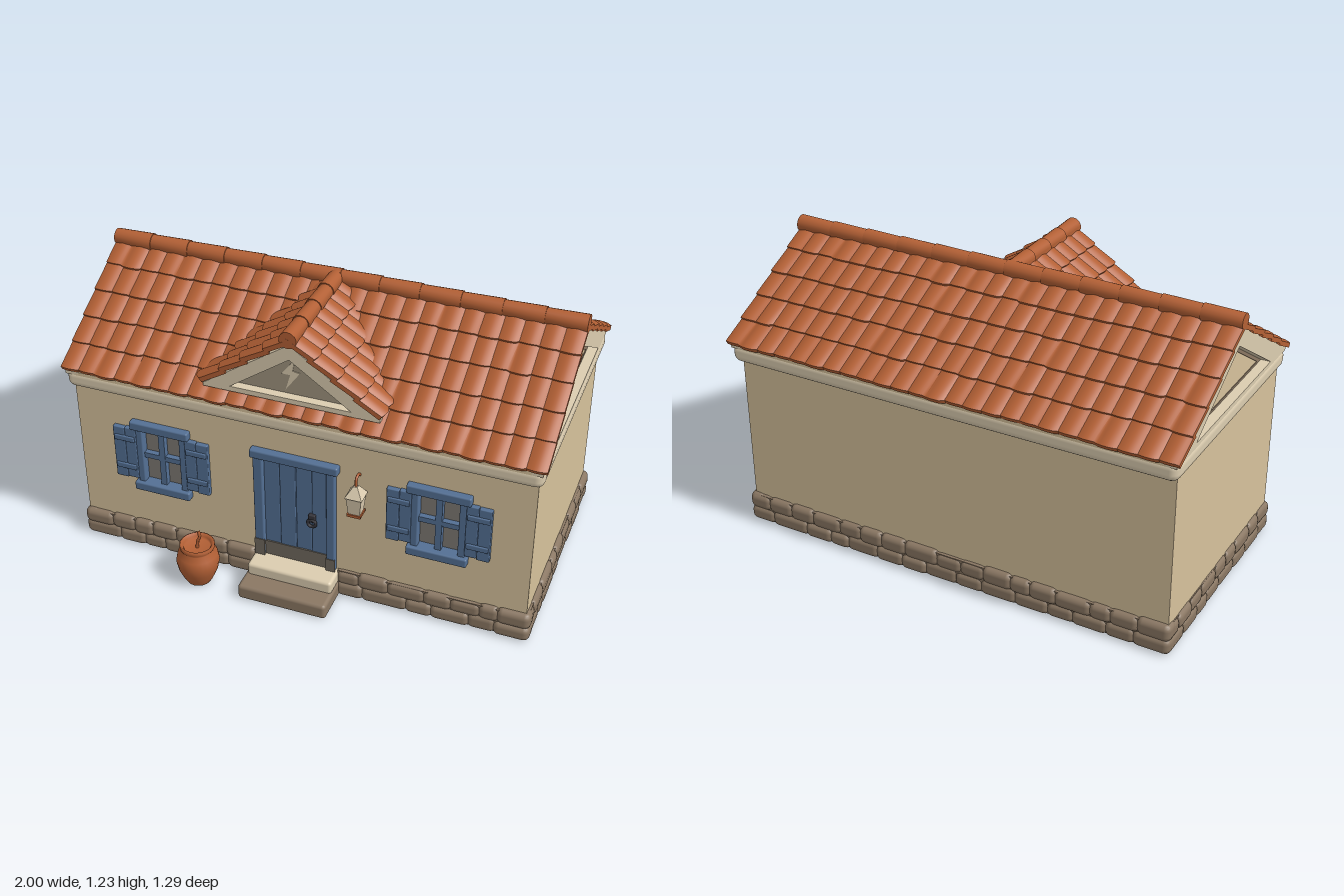
import * as THREE from 'three';
import { toCreasedNormals } from 'three/addons/utils/BufferGeometryUtils.js';
import { RoundedBoxGeometry } from 'three/addons/geometries/RoundedBoxGeometry.js';

const mat = (name, color) => Object.assign(new THREE.MeshStandardMaterial({ color }), { name });
const M = {
  plaster: mat('plaster', 0xd7c29c),
  trim: mat('pale trim', 0xdccdb0),
  shade: mat('weathered plaster', 0x9f947f),
  tile: mat('terracotta', 0xb36035),
  stone: mat('stone', 0x8a7763),
  blue: mat('blue paint', 0x547094),
  glass: mat('window glass', 0x7d7973),
  grime: mat('worn wood', 0x70685e),
  iron: mat('dark iron', 0x35343a),
};

let seed = 7;
const rand = () => (seed = (seed * 16807) % 2147483647) / 2147483647;
const RIDGE_Z = -0.07, DORMER_X = -0.02;

export function createModel() {
  const root = new THREE.Group();
  root.name = 'cottage';

  const add = (name, geo, material, x = 0, y = 0, z = 0, parent = root) => {
    const m = new THREE.Mesh(geo, material);
    m.name = name;
    m.position.set(x, y, z);
    parent.add(m);
    return m;
  };
  // Box given by its min and max on each axis; r rounds the edges
  const box = (name, material, x0, x1, y0, y1, z0, z1, r = 0, parent = root) => {
    const s = [x1 - x0, y1 - y0, z1 - z0];
    const geo = r ? new RoundedBoxGeometry(...s, 2, r) : new THREE.BoxGeometry(...s);
    return add(name, geo, material, (x0 + x1) / 2, (y0 + y1) / 2, (z0 + z1) / 2, parent);
  };
  const group = (name) => {
    const g = new THREE.Group();
    g.name = name;
    root.add(g);
    return g;
  };
  const poly = (pts) => new THREE.Shape(pts.map((p) => new THREE.Vector2(...p)));
  const extrude = (shape, depth) => new THREE.ExtrudeGeometry(shape, { depth, bevelEnabled: false });
  const rect = (x0, x1, y0, y1) => [[x0, y0], [x1, y0], [x1, y1], [x0, y1]];

  // Walls, open underneath, with window and door openings in the front
  const windows = [-0.595, 0.59];
  const front = poly(rect(-0.97, 0.965, 0.06, 0.8));
  front.holes.push(poly(rect(-0.16, 0.145, 0.1, 0.63)));
  for (const x of windows) front.holes.push(poly(rect(x - 0.105, x + 0.105, 0.335, 0.63)));
  add('frontWall', extrude(front, 0.05), M.plaster, 0, 0, 0.38);
  box('backWall', M.plaster, -0.97, 0.965, 0.06, 0.8, -0.565, -0.515);
  box('rightWall', M.plaster, -0.97, -0.92, 0.06, 0.8, -0.56, 0.425);
  box('leftWall', M.plaster, 0.915, 0.965, 0.06, 0.8, -0.56, 0.425);
  box('cornice', M.trim, -0.988, 0.988, 0.768, 0.854, -0.61, 0.47, 0.034);

  // Gable ends: a raised triangular frame around a recessed panel with a dark border
  const gable = poly([[-0.54, 0.835], [0.54, 0.835], [0.54, 0.85], [0, 1.163], [-0.54, 0.85]]);
  const attic = extrude(gable, 1.88).translate(0, 0, -0.94).rotateY(Math.PI / 2);
  add('atticPanel', attic, M.plaster, 0, 0, RIDGE_Z);
  const opening = poly([[-0.37, 0.856], [0.37, 0.856], [0, 1.083]]);
  const frame = gable.clone();
  frame.holes.push(opening);
  const border = opening.clone();
  border.holes.push(poly([[-0.325, 0.866], [0.325, 0.866], [0, 1.067]]));
  for (const [x, bx] of [[-0.984, -0.943], [0.928, 0.938]]) {
    add('gableFrame', extrude(frame, 0.056).rotateY(Math.PI / 2), M.trim, x, 0, RIDGE_Z);
    add('gableBorder', extrude(border, 0.005).rotateY(Math.PI / 2), M.stone, bx, 0, RIDGE_Z);
  }

  // One roof slope: overlapping rows of rounded tiles running downhill along local z
  const slope = (name, w, len, cols, rows, tilt, turn, pos) => {
    const g = group(name), d = len / rows;
    for (let r = 0; r < rows; r++) {
      const l = d * 1.12;
      const geo = new THREE.BoxGeometry(w, 0.02, l, cols * 6, 1, 1);
      const p = geo.attributes.position;
      const jit = Array.from({ length: cols + 1 }, () => rand() - 0.5);
      for (let i = 0; i < p.count; i++) {
        const u = (p.getX(i) / w + 0.5) * cols;
        const wave = Math.abs(Math.sin(Math.PI * u));
        const low = p.getZ(i) > 0 ? 1 : 0;
        const j = jit[Math.floor(u + 1e-4)];
        p.setY(i, p.getY(i) + 0.011 * wave + (low ? 0.008 + 0.005 * j : -0.003));
        p.setZ(i, p.getZ(i) + low * (0.008 * wave + 0.01 * j));
      }
      add('tileRow', toCreasedNormals(geo, 0.6), M.tile, 0, 0, (r + 1) * d - l / 2, g);
    }
    g.rotation.set(tilt, turn, 0, 'YXZ');
    g.position.set(...pos);
  };
  slope('frontRoof', 2, 0.628, 25, 5, 0.528, 0, [0, 1.168, RIDGE_Z]);
  slope('backRoof', 2, 0.632, 25, 5, 0.528, Math.PI, [0, 1.168, RIDGE_Z]);
  for (const s of [-1, 1]) {
    slope('dormerRoof', 0.525, 0.453, 7, 4, 0.612, s * Math.PI / 2, [DORMER_X, 1.184, 0.193]);
  }

  // Ridge caps: overlapping tapered round tiles
  for (let i = 0; i < 12; i++) {
    const cap = new THREE.CylinderGeometry(0.033, 0.037, 1 / 6, 14).rotateZ(Math.PI / 2);
    add('ridgeCap', toCreasedNormals(cap, 0.8), M.tile, -1 + (i + 0.5) / 6, 1.187, RIDGE_Z);
  }
  for (let i = 0; i < 4; i++) {
    const cap = new THREE.CylinderGeometry(0.036, 0.032, 0.133, 14).rotateX(Math.PI / 2);
    add('dormerRidgeCap', toCreasedNormals(cap, 0.8), M.tile, DORMER_X, 1.191, RIDGE_Z + (i + 0.5) * 0.131);
  }

  // Dormer gable with a chipped patch of plaster
  const dormer = [[-0.365, 0.902], [0.365, 0.902], [0.365, 0.915], [0, 1.165], [-0.365, 0.915]];
  add('dormerPanel', extrude(poly(dormer), 0.4), M.shade, DORMER_X, 0, 0.008);
  const dormerFrame = poly(dormer);
  dormerFrame.holes.push(poly([[-0.25, 0.924], [0.25, 0.924], [0, 1.1]]));
  add('dormerFrame', extrude(dormerFrame, 0.05), M.trim, DORMER_X, 0, 0.395);
  const chip = poly([[0.01, 1.085], [-0.045, 1.01], [-0.01, 1.01], [-0.03, 0.94], [0.03, 1.025], [0, 1.03]]);
  add('chippedPlaster', extrude(chip, 0.005), M.trim, DORMER_X, 0, 0.406);

  // Stone footing: two courses of irregular rounded blocks over a solid core
  const footing = group('stoneFooting');
  const course = (a, b, fixed, alongX) => {
    for (let row = 0; row < 2; row++) {
      const n = Math.max(2, Math.round((b - a) / (row ? 0.115 : 0.13)));
      const cuts = Array.from({ length: n + 1 }, (_, i) =>
        a + (b - a) * (i + (i % n ? (rand() - 0.5) * 0.5 : 0)) / n);
      for (let i = 0; i < n; i++) {
        const len = cuts[i + 1] - cuts[i] + 0.012, mid = (cuts[i] + cuts[i + 1]) / 2;
        const t = 0.066 + rand() * 0.012, h = 0.068 + rand() * 0.008;
        const geo = new RoundedBoxGeometry(alongX ? len : t, h, alongX ? t : len, 2, 0.026);
        add('stone', geo, M.stone, alongX ? mid : fixed, row * 0.059 + h / 2, alongX ? fixed : mid, footing);
      }
    }
  };
  course(-0.98, -0.19, 0.42, true);
  course(0.175, 0.98, 0.42, true);
  course(-0.98, 0.98, -0.553, true);
  course(-0.58, 0.445, -0.95, false);
  course(-0.58, 0.445, 0.95, false);
  const core = (...b) => box('footingCore', M.stone, ...b, 0, footing);
  core(-0.96, -0.19, 0.01, 0.125, 0.385, 0.443);
  core(0.175, 0.96, 0.01, 0.125, 0.385, 0.443);
  core(-0.96, 0.96, 0.01, 0.125, -0.577, -0.52);
  core(-0.974, -0.92, 0.01, 0.125, -0.56, 0.43);
  core(0.92, 0.974, 0.01, 0.125, -0.56, 0.43);

  // Steps
  box('lowerStep', M.stone, -0.2, 0.185, 0, 0.068, 0.4, 0.615, 0.016);
  box('upperStep', M.trim, -0.19, 0.178, 0.06, 0.12, 0.39, 0.53, 0.014);

  // Door
  const door = group('door');
  for (let i = 0; i < 4; i++) {
    const x = -0.145 + i * 0.069;
    box('doorPlank', M.blue, x, x + 0.068, 0.118, 0.62, 0.395, 0.432 + (i % 2) * 0.004, 0.004, door);
  }
  box('doorJamb', M.blue, -0.185, -0.143, 0.118, 0.62, 0.395, 0.452, 0.007, door);
  box('doorJamb', M.blue, 0.128, 0.165, 0.118, 0.62, 0.395, 0.452, 0.007, door);
  box('doorLintel', M.blue, -0.195, 0.18, 0.612, 0.652, 0.395, 0.462, 0.008, door);
  box('wornPatch', M.grime, -0.145, 0.13, 0.12, 0.188, 0.434, 0.44, 0, door);
  box('wornPatch', M.grime, -0.186, -0.142, 0.12, 0.2, 0.446, 0.4545, 0, door);
  box('wornPatch', M.grime, 0.127, 0.166, 0.12, 0.18, 0.446, 0.4545, 0, door);
  add('doorHandle', new THREE.TorusGeometry(0.017, 0.007, 8, 16), M.iron, 0.065, 0.342, 0.446, door);
  box('doorLatch', M.iron, 0.05, 0.08, 0.345, 0.382, 0.43, 0.45, 0.004, door);

  // Windows with frame, glazing bars and open shutters
  for (const x of windows) {
    const g = group('window');
    const part = (name, m, x0, x1, ...rest) => box(name, m, x + x0, x + x1, ...rest, g);
    part('glass', M.glass, -0.1, 0.1, 0.35, 0.62, 0.402, 0.41, 0);
    part('lintel', M.blue, -0.13, 0.13, 0.612, 0.652, 0.39, 0.46, 0.007);
    part('sill', M.blue, -0.125, 0.125, 0.312, 0.352, 0.39, 0.462, 0.007);
    part('mullion', M.blue, -0.013, 0.013, 0.35, 0.615, 0.397, 0.437, 0);
    part('glazingBar', M.blue, -0.1, 0.1, 0.47, 0.494, 0.397, 0.434, 0);
    for (const s of [-1, 1]) {
      const side = (name, a, b, ...rest) => part(name, M.blue, Math.min(s * a, s * b), Math.max(s * a, s * b), ...rest);
      side('windowJamb', 0.082, 0.112, 0.345, 0.62, 0.39, 0.445, 0.006);
      side('shutterPlank', 0.11, 0.159, 0.362, 0.61, 0.424, 0.449, 0.004);
      side('shutterPlank', 0.16, 0.212, 0.357, 0.607, 0.424, 0.449, 0.004);
      for (const y of [0.405, 0.545]) side('shutterBatten', 0.116, 0.206, y, y + 0.025, 0.445, 0.456, 0.004);
    }
  }

  // Hanging lantern
  const lantern = group('lantern');
  const lx = 0.263, lz = 0.474;
  const ring = (name, r0, r1, h, y, m) => {
    const geo = new THREE.CylinderGeometry(r0, r1, h, 4).rotateY(Math.PI / 4);
    add(name, toCreasedNormals(geo, 0.5), m, lx, y, lz, lantern);
  };
  ring('lanternBody', 0.045, 0.034, 0.08, 0.52, M.trim);
  ring('lanternRoof', 0.012, 0.051, 0.045, 0.582, M.trim);
  ring('lanternBase', 0.041, 0.041, 0.012, 0.474, M.tile);
  const hook = new THREE.CatmullRomCurve3([[0.425, 0.625], [0.447, 0.642], [0.47, 0.638], [lz, 0.6]]
    .map(([z, y]) => new THREE.Vector3(lx, y, z)));
  add('lanternHook', new THREE.TubeGeometry(hook, 12, 0.006, 6), M.tile, 0, 0, 0, lantern);

  // Clay pot with a bare stem and a grey underside
  const pot = group('pot');
  const profile = [[0.052, 0.002], [0.062, 0.018], [0.082, 0.065], [0.09, 0.105], [0.083, 0.14], [0.066, 0.162],
    [0.072, 0.172], [0.073, 0.186], [0.066, 0.19], [0.057, 0.178], [0.055, 0.165], [0, 0.165]];
  const potGeo = new THREE.LatheGeometry(profile.map((p) => new THREE.Vector2(...p)), 28);
  add('potBody', potGeo, M.tile, 0, 0, 0, pot);
  add('potFoot', new THREE.CylinderGeometry(0.054, 0.052, 0.008, 28), M.stone, 0, 0.004, 0, pot);
  const stem = new THREE.CatmullRomCurve3([[0, 0.16], [0.004, 0.2], [0.014, 0.225], [0.008, 0.257]]
    .map(([x, y]) => new THREE.Vector3(x, y, 0)));
  add('stem', new THREE.TubeGeometry(stem, 10, 0.007, 6), M.tile, 0, 0, 0, pot);
  pot.position.set(-0.4, 0, 0.556);

  return root;
}
